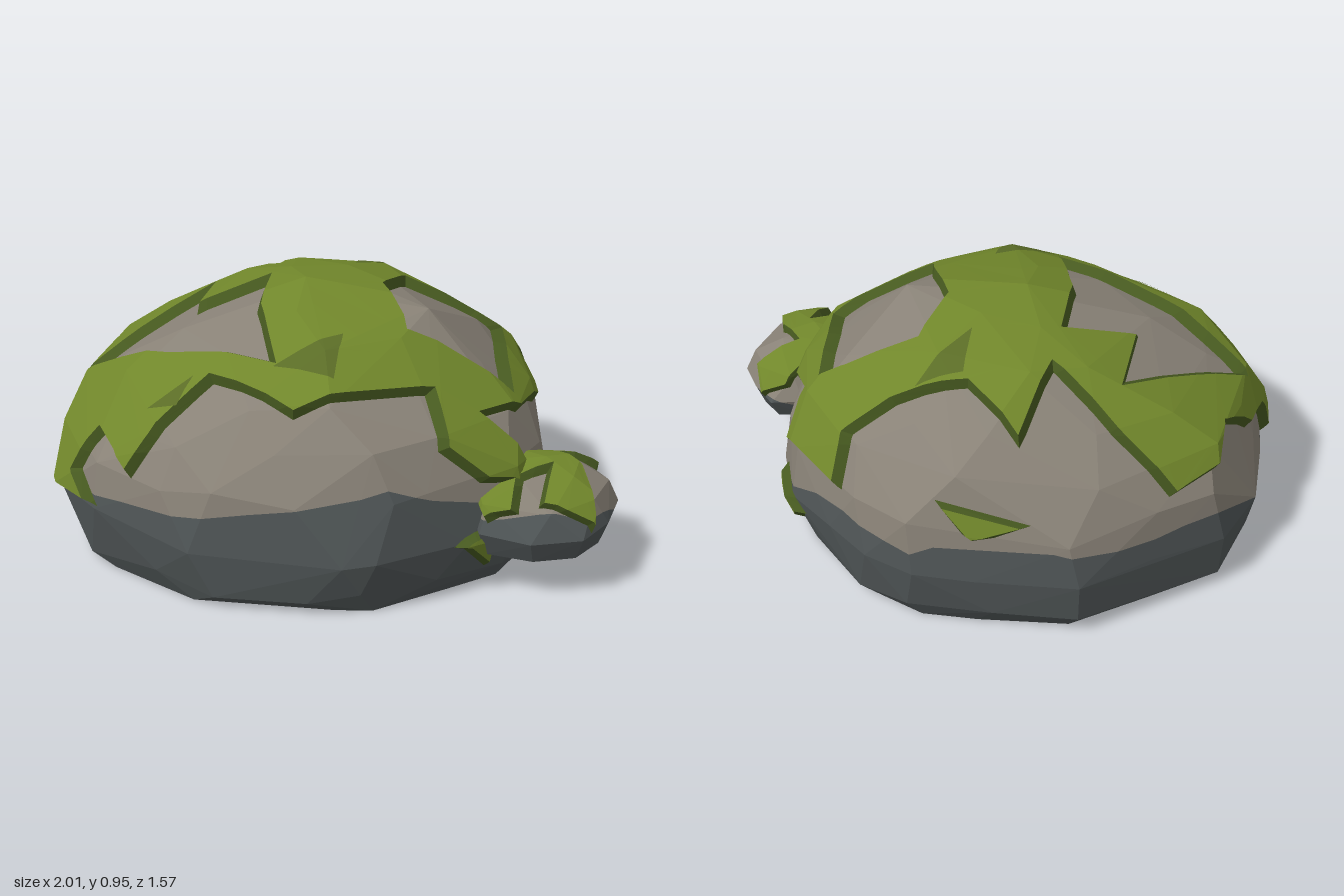
import * as THREE from 'three';
import { ConvexGeometry } from 'three/addons/geometries/ConvexGeometry.js';

const mat = (name, color, side = THREE.FrontSide) =>
  Object.assign(new THREE.MeshStandardMaterial({ color, side, flatShading: true }), { name });

const V3 = (x, y, z) => new THREE.Vector3(x, y, z);
const T = (x, z) => ['T', x, z], F = (x, y) => ['F', x, y], B = (x, y) => ['B', x, y];
const R = (z, y) => ['R', z, y], L = (z, y) => ['L', z, y];

function seeded(s) {
  return () => (s = (s * 16807) % 2147483647) / 2147483647;
}

function meshFrom(points, material, name) {
  const g = new THREE.BufferGeometry().setFromPoints(points);
  g.computeVertexNormals();
  const m = new THREE.Mesh(g, material);
  m.name = name;
  return m;
}

// Keep the part of a convex polygon where f >= 0
function clip(poly, f) {
  const out = [];
  poly.forEach((a, i) => {
    const b = poly[(i + 1) % poly.length], fa = f(a), fb = f(b);
    if (fa >= 0) out.push(a);
    if ((fa >= 0) !== (fb >= 0)) {
      const t = fa / (fa - fb);
      out.push({ p: a.p.clone().lerp(b.p, t), uv: a.uv.clone().lerp(b.uv, t) });
    }
  });
  return out;
}

const fan = (poly, out, place = v => v.p) => {
  for (let i = 2; i < poly.length; i++) [poly[0], poly[i - 1], poly[i]].forEach(v => out.push(place(v)));
};

// Signed side of q relative to the line a-b
const sideOf = (a, b, q) => (b.x - a.x) * (q.y - a.y) - (b.y - a.y) * (q.x - a.x);

// Offset a closed loop to its left by w, with limited mitres
function inset(loop, w) {
  const n = loop.length;
  const left = (a, b) => new THREE.Vector2(a.y - b.y, b.x - a.x).normalize();
  return loop.map((p, i) => {
    const m = left(loop[(i + n - 1) % n], p), k = left(p, loop[(i + 1) % n]);
    const dir = m.clone().add(k).normalize();
    return p.clone().addScaledVector(dir, w / Math.max(0.4, dir.dot(k)));
  });
}

// Boulder: convex hull of rings that follow a plan outline and a side profile.
// Rings with a count of 0 keep the corners of the outline.
function makeRock(center, outline, profile, counts, lean, seed) {
  const rnd = seeded(seed), turn = 2 * Math.PI;
  const polar = outline.map(([x, z]) => [Math.atan2(z - center.z, x - center.x), Math.hypot(x - center.x, z - center.z)])
    .sort((a, b) => a[0] - b[0]);
  const n = polar.length;
  const radius = a => {
    a = Math.atan2(Math.sin(a), Math.cos(a));
    const i = Math.max(0, polar.findIndex(q => q[0] > a));
    const [a0, r0] = polar[(i + n - 1) % n], [a1, r1] = polar[i];
    const t = (a - a0 + turn) % turn, d = (a1 - a0 + turn) % turn;
    return r0 * r1 * Math.sin(d) / (r0 * Math.sin(t) + r1 * Math.sin(d - t));
  };
  const pts = [], height = profile[profile.length - 1][1];
  profile.forEach(([s, y], k) => {
    const count = counts[k] || n;
    for (let i = 0; i < count; i++) {
      const a = counts[k] ? (i + (k % 2) * 0.5 + (rnd() - 0.5) * 0.6) / count * turn : polar[i][0] + (rnd() - 0.5) * 0.03;
      const r = radius(a) * s * (1 - 0.02 * rnd());
      const dy = k && s ? (rnd() - 0.5) * 0.06 * height + lean * Math.sin(Math.PI * Math.min(1, s)) * Math.cos(a + 0.5) : 0;
      pts.push(V3(center.x + Math.cos(a) * r, center.y + y + dy, center.z + Math.sin(a) * r));
    }
  });
  const hull = new ConvexGeometry(pts);

  // Flat map of the dome: azimuth and angle away from the top
  const toUV = p => {
    const d = p.clone().sub(center), h = Math.hypot(d.x, d.z);
    const r = Math.atan2(h, d.y);
    return h < 1e-6 ? new THREE.Vector2() : new THREE.Vector2(d.x / h * r, d.z / h * r);
  };
  const pos = hull.getAttribute('position'), tris = [];
  for (let i = 0; i < pos.count; i += 3) {
    tris.push([0, 1, 2].map(k => {
      const p = V3(0, 0, 0).fromBufferAttribute(pos, i + k);
      return { p, uv: toUV(p) };
    }));
  }
  const probe = new THREE.Mesh(hull, new THREE.MeshBasicMaterial({ side: THREE.DoubleSide }));
  const ray = new THREE.Raycaster();

  // Surface point seen along an axis, pulled inwards if it misses
  const pick = ([view, a, b]) => {
    for (let s = 1; s > 0; s -= 0.02) {
      const x = center.x + (a - center.x) * s, z = center.z + (a - center.z) * s;
      const [o, d] = {
        T: [V3(x, 5, center.z + (b - center.z) * s), V3(0, -1, 0)],
        F: [V3(x, b, 5), V3(0, 0, -1)], B: [V3(x, b, -5), V3(0, 0, 1)],
        R: [V3(5, b, z), V3(-1, 0, 0)], L: [V3(-5, b, z), V3(1, 0, 0)],
      }[view];
      ray.set(o, d);
      const hit = ray.intersectObject(probe)[0];
      if (hit) return toUV(hit.point);
    }
    return new THREE.Vector2();
  };
  return { center, height, tris, pick };
}

// Pale stone above a wavy line, dark stone below it
function addStone(group, rock, band, pale, dark) {
  const hi = [], lo = [];
  const f = v => v.p.y - band(v.p, Math.atan2(v.p.z - rock.center.z, v.p.x - rock.center.x));
  for (const t of rock.tris) {
    fan(clip(t, f), hi);
    fan(clip(t, v => -f(v)), lo);
  }
  group.add(meshFrom(hi, pale, 'upperStone'), meshFrom(lo, dark, 'lowerStone'));
}

// Lay a flat-map triangle over the rock facets, raised by the height at each corner
function drape(rock, corners, heights, out) {
  let [a, b, c] = corners, [ha, hb, hc] = heights;
  if (sideOf(a, b, c) < 0) [b, c, hb, hc] = [c, b, hc, hb];
  const area = sideOf(a, b, c), core = rock.center.clone().add(V3(0, rock.height * 0.2, 0));
  if (area < 1e-9) return;
  const place = ({ p, uv }) => {
    const h = (sideOf(b, c, uv) * ha + sideOf(c, a, uv) * hb + sideOf(a, b, uv) * hc) / area;
    return p.clone().addScaledVector(p.clone().sub(core).normalize(), h);
  };
  for (const t of rock.tris) {
    if (t.every(v => v.p.y < rock.center.y + 0.001)) continue;
    let poly = t;
    for (const [p, q] of [[a, b], [b, c], [c, a]]) poly = clip(poly, v => sideOf(p, q, v.uv));
    fan(poly, out, place);
  }
}

// Moss: raised sheet with a sloping rim along its outline and holes
function addMoss(group, rock, loops, thick, bevel, top, rim, name) {
  const outer = loops.map((l, i) => {
    const uv = l.map(rock.pick);
    return THREE.ShapeUtils.isClockWise(uv) === (i > 0) ? uv : uv.reverse();
  });
  const inner = rim ? outer.map(l => inset(l, bevel)) : outer;
  const all = inner.flat(), sheet = [], edge = [];
  THREE.ShapeUtils.triangulateShape(inner[0], inner.slice(1)).forEach(face =>
    drape(rock, face.map(i => all[i]), [thick, thick, thick], sheet));
  group.add(meshFrom(sheet, top, name));
  if (!rim) return;
  outer.forEach((l, k) => l.forEach((s, i) => {
    const j = (i + 1) % l.length, e = l[j], si = inner[k][i], ei = inner[k][j];
    drape(rock, [s, e, ei], [0, 0, thick], edge);
    drape(rock, [s, ei, si], [0, thick, thick], edge);
  }));
  group.add(meshFrom(edge, rim, name + 'Rim'));
}

export function createModel() {
  const pale = mat('paleStone', 0x898277), dark = mat('darkStone', 0x4f5556);
  const moss = mat('moss', 0x71872b, THREE.DoubleSide), rim = mat('mossRim', 0x475a20, THREE.DoubleSide);
  const shade = mat('mossShade', 0x5b6d27, THREE.DoubleSide);
  const model = new THREE.Group();
  model.name = 'mossyRocks';

  // Large boulder
  const big = new THREE.Group();
  big.name = 'largeRock';
  const rock = makeRock(V3(-0.11, 0, 0),
    [[-0.99, 0.02], [-0.96, -0.25], [-0.85, -0.46], [-0.62, -0.61], [-0.36, -0.78], [0.0, -0.78], [0.22, -0.77], [0.4, -0.68],
      [0.54, -0.55], [0.71, -0.36], [0.78, -0.13], [0.78, 0.1], [0.75, 0.3], [0.66, 0.48], [0.48, 0.6], [0.3, 0.69],
      [0.17, 0.78], [0.04, 0.79], [-0.22, 0.75], [-0.5, 0.72], [-0.7, 0.56], [-0.85, 0.47], [-0.98, 0.28]],
    [[0.91, 0], [0.975, 0.07], [1, 0.23], [0.97, 0.42], [0.875, 0.58], [0.73, 0.69], [0.5, 0.805], [0.25, 0.875], [0, 0.915]],
    [0, 18, 0, 18, 15, 11, 8, 5, 1], 0.045, 41);
  const dip = a => 0.12 * Math.exp(-(((a - 2.05) / 0.2) ** 2));
  addStone(big, rock, (p, a) => 0.21 + (p.z > 0 ? 0.28 : 0.22) * Math.abs(p.z) + 0.04 * Math.sin(7 * a)
    + 0.02 * Math.sin(17 * a) - dip(a), pale, dark);

  // Main moss cover with an opening on each shoulder
  const cover = [
    F(-0.82, 0.27), F(-0.88, 0.37), F(-0.79, 0.5), F(-0.68, 0.42), F(-0.59, 0.55), F(-0.4, 0.71), F(-0.13, 0.66),
    F(0.31, 0.68), F(0.36, 0.54), F(0.5, 0.42), F(0.62, 0.37), R(0.38, 0.43), R(0.37, 0.59), R(0.25, 0.55),
    R(-0.01, 0.48), R(-0.2, 0.57), R(-0.3, 0.42), R(-0.56, 0.44), R(-0.46, 0.6), T(0.3, -0.42), T(0.05, -0.42),
    T(-0.14, -0.57), T(-0.23, -0.35), T(-0.43, -0.47), T(-0.64, -0.54), L(-0.4, 0.5), L(-0.25, 0.58), L(-0.1, 0.45),
    L(0.05, 0.42), L(0.15, 0.25), L(0.3, 0.25)];
  const leftHole = [T(0.17, -0.03), T(0.24, -0.2), T(0.48, -0.21), R(-0.2, 0.67), R(0.2, 0.62), T(0.25, 0.21)];
  const rightHole = [T(-0.85, 0.03), T(-0.47, -0.28), T(-0.5, -0.04), T(-0.26, -0.13), T(-0.28, 0.1), T(-0.22, 0.36), T(-0.55, 0.21)];
  addMoss(big, rock, [cover, leftHole, rightHole], 0.036, 0.025, moss, rim, 'mossCover');

  // Loose moss scraps
  [[R(-0.22, 0.27), R(-0.43, 0.2), R(-0.34, 0.1)],
    [B(-0.2, 0.48), B(0.0, 0.43), B(0.14, 0.54)],
    [F(0.42, 0.22), F(0.56, 0.26), F(0.53, 0.1)]].forEach(s => addMoss(big, rock, [s], 0.03, 0.02, moss, rim, 'mossScrap'));

  // Darker flecks on the moss
  [[T(0.05, -0.22), T(0.22, -0.4), T(0.06, -0.38)],
    [F(-0.2, 0.76), F(0.02, 0.83), F(0, 0.75)],
    [T(-0.6, 0.42), T(-0.45, 0.36), T(-0.5, 0.44)]].forEach(s => addMoss(big, rock, [s], 0.039, 0, shade, null, 'mossFleck'));

  // Small stone leaning on the front left
  const small = new THREE.Group();
  small.name = 'smallRock';
  const stone = makeRock(V3(0.74, 0.16, 0.4),
    [[1.01, 0.34], [0.96, 0.5], [0.86, 0.63], [0.68, 0.67], [0.5, 0.61], [0.47, 0.4], [0.55, 0.25], [0.75, 0.15], [0.88, 0.14], [0.95, 0.23]],
    [[0.87, 0], [1, 0.09], [0.86, 0.18], [0.5, 0.24], [0, 0.26]], [0, 0, 8, 5, 1], 0, 77);
  addStone(small, stone, (p, a) => 0.24 + 0.35 * Math.max(0, p.z - 0.4) + 0.025 * Math.sin(5 * a), pale, dark);
  addMoss(small, stone, [[T(0.51, 0.44), T(0.54, 0.6), T(0.65, 0.6), T(0.66, 0.49), T(0.74, 0.45), T(0.71, 0.59),
    T(0.89, 0.58), T(0.86, 0.4), T(0.8, 0.33), T(0.93, 0.27), T(0.91, 0.17), T(0.8, 0.17), T(0.72, 0.27), T(0.62, 0.36)]],
  0.03, 0.06, moss, rim, 'smallMoss');

  model.add(big, small);
  return model;
}
